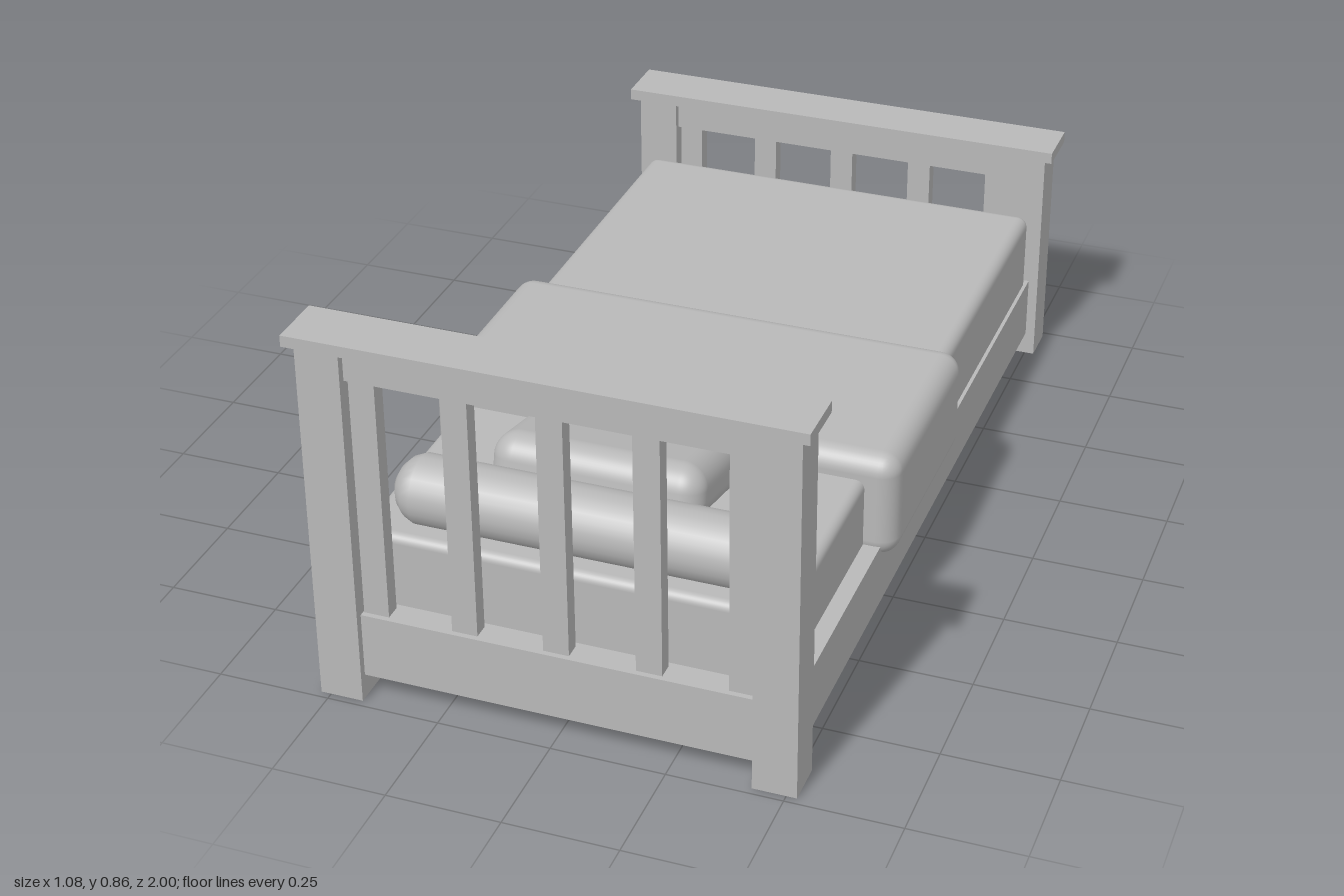
import * as THREE from 'three';
import { RoundedBoxGeometry } from 'three/addons/geometries/RoundedBoxGeometry.js';

export function createModel() {
  const bed = new THREE.Group();
  bed.name = 'bed';
  const grey = new THREE.MeshStandardMaterial({ color: 0xb8b8b8 });
  grey.name = 'plain grey';

  const add = (parent, name, geometry, x, y, z) => {
    const mesh = new THREE.Mesh(geometry, grey);
    mesh.name = name;
    mesh.position.set(x, y, z);
    parent.add(mesh);
    return mesh;
  };
  // boxes given by their extents on each axis
  const box = (parent, name, x0, x1, y0, y1, z0, z1) =>
    add(parent, name, new THREE.BoxGeometry(x1 - x0, y1 - y0, z1 - z0),
      (x0 + x1) / 2, (y0 + y1) / 2, (z0 + z1) / 2);
  const soft = (parent, name, x0, x1, y0, y1, z0, z1, r) =>
    add(parent, name, new RoundedBoxGeometry(x1 - x0, y1 - y0, z1 - z0, 4, r),
      (x0 + x1) / 2, (y0 + y1) / 2, (z0 + z1) / 2);

  // headboard and footboard share one layout and differ in height
  const endBoard = (name, postTop, capTop, z) => {
    const g = new THREE.Group();
    g.name = name;
    for (const s of [-1, 1]) {
      box(g, 'post', s * 0.475 - 0.0475, s * 0.475 + 0.0475, 0, postTop, z - 0.0475, z + 0.0475);
    }
    box(g, 'cap', -0.542, 0.542, postTop, capTop, z - 0.064, z + 0.064);
    box(g, 'upperRail', -0.428, 0.428, postTop - 0.073, postTop, z - 0.03, z + 0.03);
    box(g, 'lowerRail', -0.428, 0.428, 0.055, 0.205, z - 0.03, z + 0.03);
    for (const x of [-0.397, -0.2, 0, 0.2, 0.397]) {
      box(g, 'spindle', x - 0.028, x + 0.028, 0.205, postTop - 0.073, z - 0.018, z + 0.018);
    }
    bed.add(g);
  };
  endBoard('headboard', 0.835, 0.86, 0.936);
  endBoard('footboard', 0.54, 0.567, -0.936);

  // side rails, centre beam and mattress slats
  const base = new THREE.Group();
  base.name = 'base';
  bed.add(base);
  for (const s of [-1, 1]) {
    box(base, 'sideRail', s * 0.48 - 0.02, s * 0.48 + 0.02, 0.055, 0.203, -0.889, 0.889);
  }
  box(base, 'centreBeam', -0.035, 0.035, 0.055, 0.135, -0.906, 0.906);
  for (let i = 0; i < 9; i++) {
    const z = -0.8 + i * 0.2;
    box(base, 'slat', -0.46, 0.46, 0.135, 0.162, z - 0.035, z + 0.035);
  }

  // mattress and covers
  const bedding = new THREE.Group();
  bedding.name = 'bedding';
  bed.add(bedding);
  soft(bedding, 'mattress', -0.462, 0.462, 0.162, 0.362, -0.885, 0.889, 0.02);
  soft(bedding, 'duvet', -0.492, 0.492, 0.18, 0.385, -0.887, 0.3, 0.025);
  soft(bedding, 'foldedThrow', -0.533, 0.533, 0.17, 0.419, -0.148, 0.368, 0.045);

  // bolster: a turned roll with rounded ends, lying along x
  const roll = [[0, -0.4], [0.025, -0.398], [0.047, -0.386], [0.065, -0.368], [0.075, -0.345]];
  const profile = [...roll, ...roll.map(([r, l]) => [r, -l]).reverse()]
    .map(([r, l]) => new THREE.Vector2(r, l));
  const bolster = add(bedding, 'bolster', new THREE.LatheGeometry(profile, 24), 0, 0.439, 0.813);
  bolster.rotation.z = Math.PI / 2;

  // pillow: a soft block with its sides drawn in and its face slightly plump
  const w = 0.47, h = 0.135, d = 0.32;
  const pillowShape = new RoundedBoxGeometry(w, h, d, 8, 0.055);
  const p = pillowShape.attributes.position;
  for (let i = 0; i < p.count; i++) {
    const u = p.getX(i) / (w / 2), v = p.getZ(i) / (d / 2);
    p.setXYZ(i,
      p.getX(i) * (0.97 + 0.03 * v * v),
      p.getY(i) * (1 - 0.1 * u * u * v * v),
      p.getZ(i) * (0.96 + 0.05 * u * u));
  }
  const pillow = add(bedding, 'pillow', pillowShape, 0, 0.451, 0.592);
  pillow.rotation.x = -0.22;

  return bed;
}
